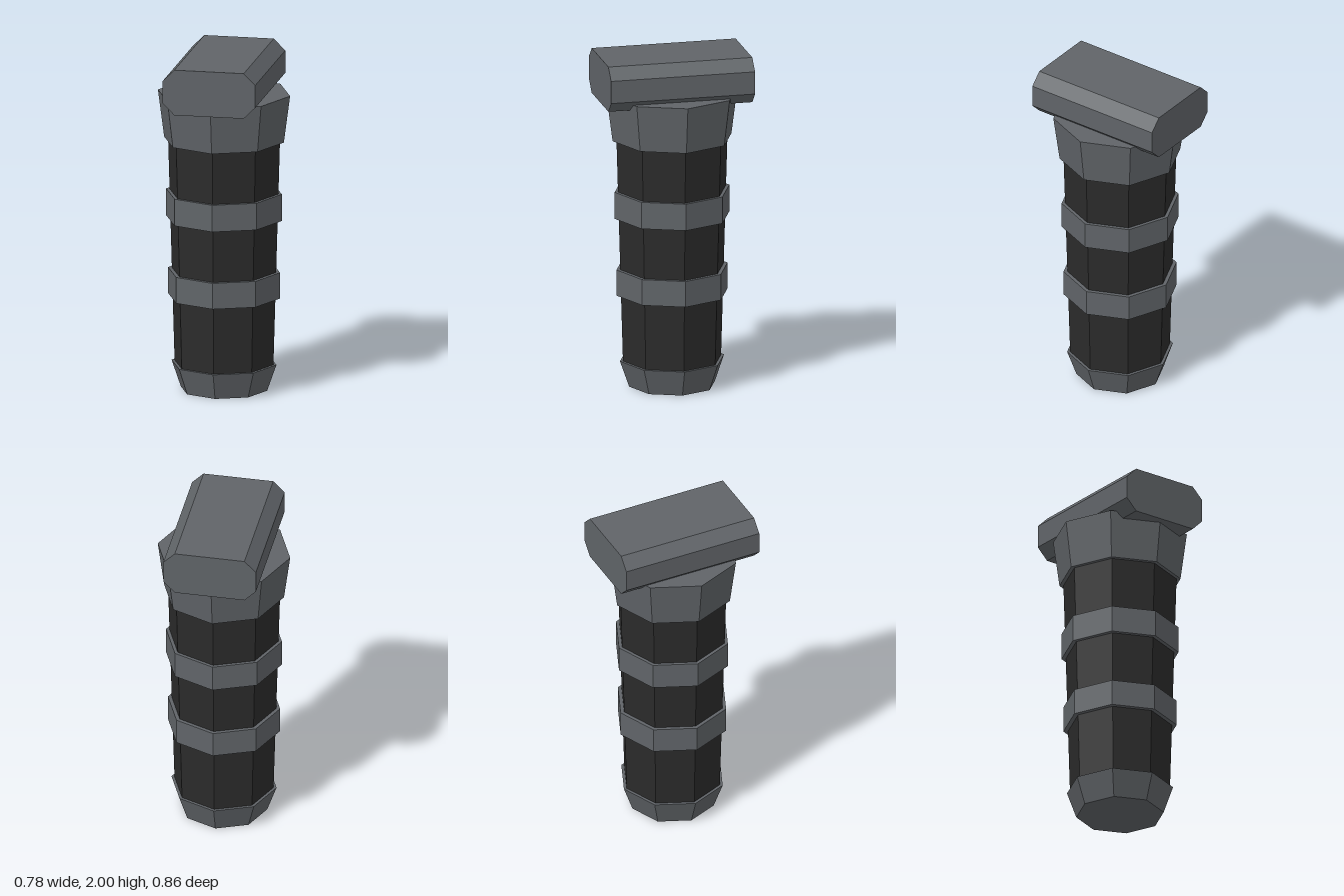
import * as THREE from 'three';

export function createModel() {
  const model = new THREE.Group();
  model.name = 'handle';

  const metal = new THREE.MeshStandardMaterial({ color: 0x606468 });
  metal.name = 'grey metal';
  const wrap = new THREE.MeshStandardMaterial({ color: 0x2b2b2b });
  wrap.name = 'dark grip';

  const add = (name, geometry, material) => {
    // split vertices so every facet is flat
    const flat = geometry.index ? geometry.toNonIndexed() : geometry;
    flat.computeVertexNormals();
    const mesh = new THREE.Mesh(flat, material);
    mesh.name = name;
    model.add(mesh);
    return mesh;
  };

  // eight-sided section between two heights, corners on the x and z axes
  const section = (name, y0, y1, r0, r1, material) => {
    const mesh = add(name, new THREE.CylinderGeometry(r1, r0, y1 - y0, 8), material);
    mesh.position.y = (y0 + y1) / 2;
  };

  section('pommel', 0, 0.157, 0.256, 0.311, metal);
  section('grip', 0.15, 1.5, 0.293, 0.332, wrap);
  section('lowerRing', 0.555, 0.71, 0.332, 0.332, metal);
  section('upperRing', 1.02, 1.18, 0.343, 0.343, metal);
  section('collar', 1.49, 1.77, 0.355, 0.392, metal);

  // chamfered crossbar running front to back
  const w = 0.274, h = 0.135, c = 0.068;
  const outline = new THREE.Shape([
    [-w + c, -h], [w - c, -h], [w, -h + c], [w, h - c],
    [w - c, h], [-w + c, h], [-w, h - c], [-w, -h + c],
  ].map(([x, y]) => new THREE.Vector2(x, y)));
  const bar = add('crossbar', new THREE.ExtrudeGeometry(outline, { depth: 0.86, bevelEnabled: false }), metal);
  bar.position.set(0, 2 - h, -0.43);

  return model;
}
